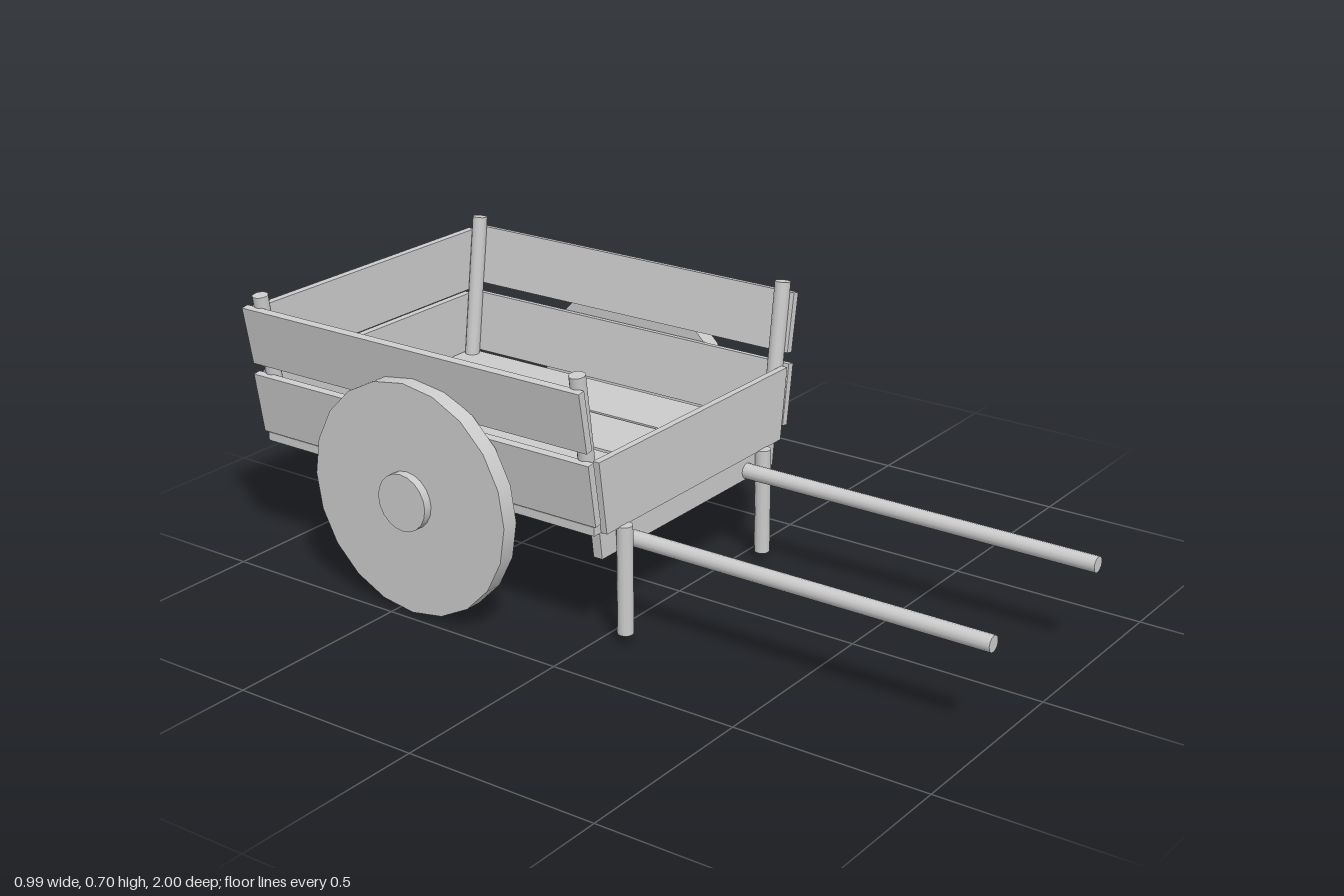
import * as THREE from 'three';

const material = new THREE.MeshStandardMaterial({ color: 0xcccccc });

export function createModel() {
  const cart = new THREE.Group();
  cart.name = 'handcart';

  const add = (name, geometry, x, y, z) => {
    const mesh = new THREE.Mesh(geometry, material);
    mesh.name = name;
    mesh.position.set(x, y, z);
    cart.add(mesh);
    return mesh;
  };
  const box = (name, w, h, d, x, y, z) => add(name, new THREE.BoxGeometry(w, h, d), x, y, z);
  const pole = (name, r, length, sides, x, y, z) =>
    add(name, new THREE.CylinderGeometry(r, r, length, sides), x, y, z);

  // Upright board whose ends splay outwards, spanning z0 to z0 + depth
  const splayedBoard = (name, y0, y1, half0, half1, z0, depth) => {
    const shape = new THREE.Shape([
      new THREE.Vector2(-half0, y0), new THREE.Vector2(half0, y0),
      new THREE.Vector2(half1, y1), new THREE.Vector2(-half1, y1),
    ]);
    add(name, new THREE.ExtrudeGeometry(shape, { depth, bevelEnabled: false }), 0, 0, z0);
  };

  // Floor of four lengthwise planks with narrow gaps
  for (let i = 0; i < 4; i++) {
    box('floorPlank', i === 0 || i === 3 ? 0.185 : 0.188, 0.022, 1.03,
      [-0.2955, -0.1, 0.1, 0.2955][i], 0.309, -0.478);
  }

  // Front and back boards
  splayedBoard('frontBoard', 0.298, 0.484, 0.362, 0.388, 0.036, 0.018);
  splayedBoard('backLowerBoard', 0.322, 0.484, 0.366, 0.389, -0.998, 0.02);
  splayedBoard('backUpperBoard', 0.495, 0.659, 0.39, 0.413, -0.998, 0.02);

  // Beam below the front of the floor
  splayedBoard('frontBeam', 0.228, 0.298, 0.356, 0.365, 0.01, 0.025);

  for (const side of [-1, 1]) {
    // Leaning corner posts
    for (const z of [0.018, -0.96]) {
      pole('cornerPost', 0.02, 0.383, 12, side * 0.391, 0.506, z).rotation.z = -side * 0.135;
    }

    // Leaning side planks
    box('sideLowerPlank', 0.02, 0.16, 1.045, side * 0.4, 0.407, -0.473).rotation.z = -side * 0.15;
    box('sideUpperPlank', 0.02, 0.153, 1.04, side * 0.424, 0.59, -0.475).rotation.z = -side * 0.17;

    // Solid wheel and its hub
    pole('wheel', 0.295, 0.045, 20, side * 0.45, 0.296, -0.455).rotation.z = Math.PI / 2;
    pole('wheelHub', 0.073, 0.05, 20, side * 0.47, 0.296, -0.455).rotation.z = Math.PI / 2;

    // Pulling handle and front leg
    const offset = -0.008;
    pole('handle', 0.02, 1.016, 12, side * 0.247 + offset, 0.25, 0.492).rotation.x = Math.PI / 2;
    pole('frontLeg', 0.02, 0.278, 12, side * 0.289 + offset, 0.161, 0.056);
  }

  return cart;
}
